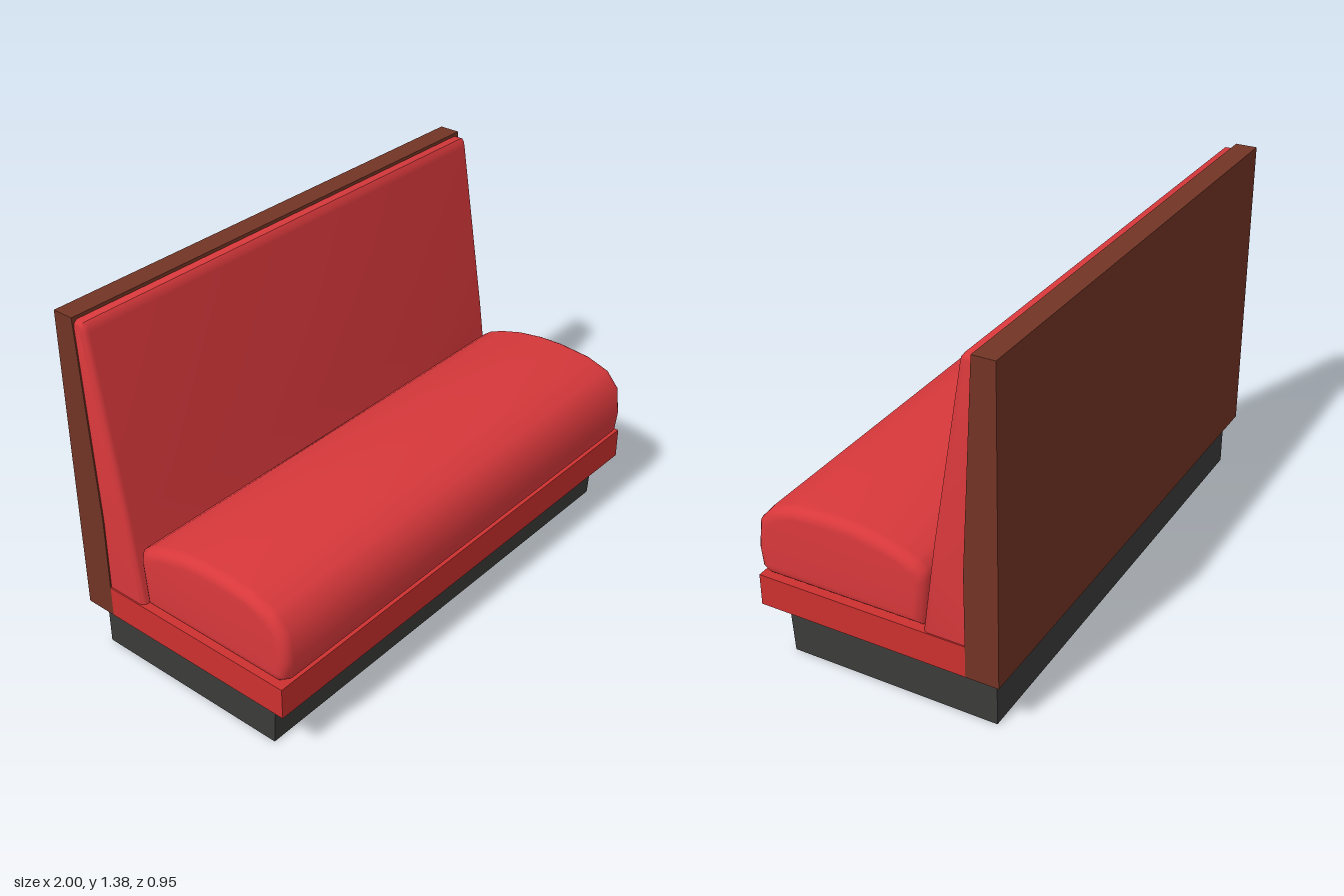
import * as THREE from 'three';
import { toCreasedNormals } from 'three/addons/utils/BufferGeometryUtils.js';

const mat = (color, extra = {}) => new THREE.MeshStandardMaterial({ color, ...extra });
const cushionRed = mat(0xd8383b);
const frameRed = mat(0xcc302f);
const wood = mat(0x723425);
const dark = mat(0x3b3b3a, { side: THREE.DoubleSide });

// Extrude a side profile of [z, y] points along x; the bevel stays inside the outline
function profileGeometry(points, width, bevel = 0) {
  const shape = new THREE.Shape(points.map(([z, y]) => new THREE.Vector2(z, y)));
  const depth = width - 2 * bevel;
  const geo = new THREE.ExtrudeGeometry(shape, {
    depth, bevelEnabled: bevel > 0, bevelThickness: bevel,
    bevelSize: bevel, bevelOffset: -bevel, bevelSegments: 5,
  });
  geo.translate(0, 0, -depth / 2);
  geo.rotateY(-Math.PI / 2);
  return bevel > 0 ? toCreasedNormals(geo, 0.8) : geo;
}

export function createModel() {
  const group = new THREE.Group();
  const add = (name, geometry, material) => {
    const mesh = new THREE.Mesh(geometry, material);
    mesh.name = name;
    group.add(mesh);
  };

  // Plinth: four thin walls, open above and below, front leaning out slightly
  const plinth = new THREE.BoxGeometry(1.9, 0.196, 0.815);
  const index = Array.from(plinth.index.array);
  plinth.setIndex([...index.slice(0, 12), ...index.slice(24, 36)]);
  plinth.clearGroups();
  plinth.translate(0, 0.098, -0.0325);
  const pos = plinth.attributes.position;
  for (let i = 0; i < pos.count; i++) {
    if (pos.getZ(i) > 0 && pos.getY(i) > 0.1) pos.setZ(i, 0.383);
    else if (pos.getZ(i) > 0) pos.setZ(i, 0.37);
  }
  plinth.computeVertexNormals();
  add('plinth', plinth, dark);

  // Seat frame
  const frame = new THREE.BoxGeometry(2, 0.122, 0.812);
  frame.translate(0, 0.257, 0.055);
  add('seatFrame', frame, frameRed);

  // Wooden back panel, thinner towards the top
  add('backPanel', profileGeometry([
    [-0.475, 0.196], [-0.351, 0.196], [-0.351, 0.6], [-0.392, 1.376], [-0.475, 1.376],
  ], 2), wood);

  // Domed seat cushion
  add('seatCushion', profileGeometry([
    [-0.185, 0.32], [0.43, 0.318], [0.465, 0.342], [0.474, 0.42], [0.46, 0.53],
    [0.405, 0.592], [0.31, 0.622], [0.18, 0.633], [0.08, 0.63], [-0.02, 0.615],
    [-0.1, 0.592], [-0.16, 0.568], [-0.194, 0.542], [-0.2, 0.5],
  ], 1.98, 0.04), cushionRed);

  // Wedge backrest cushion, tucked into the panel and the frame
  add('backCushion', profileGeometry([
    [-0.43, 0.28], [-0.182, 0.28], [-0.235, 0.66], [-0.343, 1.33],
    [-0.347, 1.35], [-0.358, 1.364], [-0.43, 1.364],
  ], 1.99, 0.022), cushionRed);

  return group;
}
